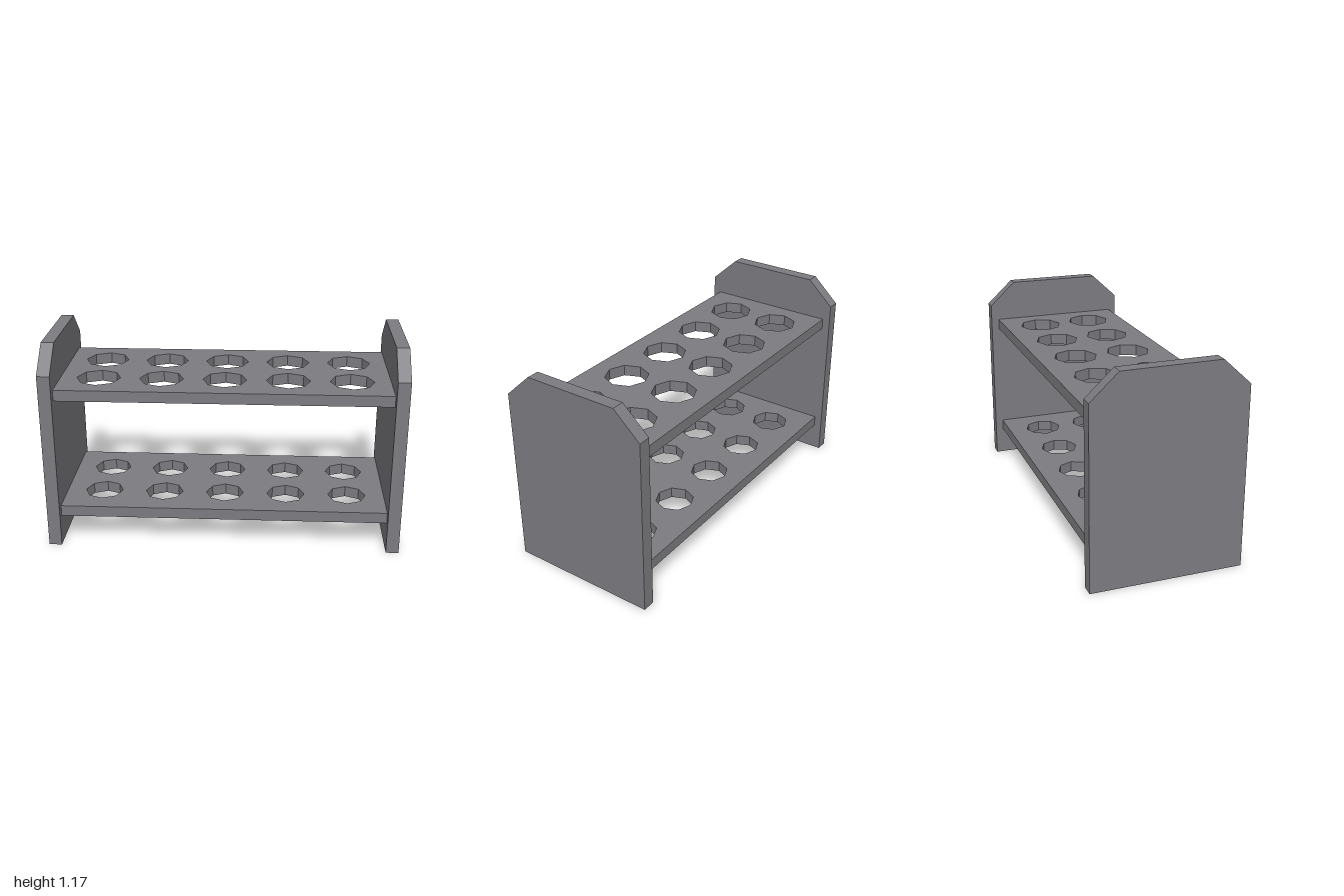
import * as THREE from 'three';

const T = 0.072;              // end panel thickness
const SHELF_LENGTH = 2 - 2 * T;
const SHELF_HALF_DEPTH = 0.38;
const SHELF_THICKNESS = 0.063;

const polygon = (points) => points.map(([x, y]) => new THREE.Vector2(x, y));

// Eight-sided hole with corners on the axes
function octagonHole(cx, cy, r) {
  const points = [];
  for (let i = 0; i < 8; i++) {
    const a = (-i * Math.PI) / 4;
    points.push([cx + r * Math.cos(a), cy + r * Math.sin(a)]);
  }
  return new THREE.Path(polygon(points));
}

// Horizontal board pierced by two rows of five holes
function createShelf(name, bottomY, holeRadius, material) {
  const w = SHELF_LENGTH / 2;
  const d = SHELF_HALF_DEPTH;
  const shape = new THREE.Shape(polygon([[-w, -d], [w, -d], [w, d], [-w, d]]));
  for (const row of [-0.16, 0.16]) {
    for (let i = -2; i <= 2; i++) {
      shape.holes.push(octagonHole(i * 0.356, row, holeRadius));
    }
  }
  const geometry = new THREE.ExtrudeGeometry(shape, { depth: SHELF_THICKNESS, bevelEnabled: false });
  geometry.rotateX(-Math.PI / 2);
  const mesh = new THREE.Mesh(geometry, material);
  mesh.name = name;
  mesh.position.y = bottomY;
  return mesh;
}

// Upright end board with clipped top corners
function createEndPanel(name, centerX, material) {
  const shape = new THREE.Shape(polygon([
    [-0.426, 0], [0.426, 0], [0.426, 1.025],
    [0.272, 1.168], [-0.272, 1.168], [-0.426, 1.025],
  ]));
  const geometry = new THREE.ExtrudeGeometry(shape, { depth: T, bevelEnabled: false });
  geometry.translate(0, 0, -T / 2);
  geometry.rotateY(Math.PI / 2);
  const mesh = new THREE.Mesh(geometry, material);
  mesh.name = name;
  mesh.position.x = centerX;
  return mesh;
}

export function createModel() {
  const grey = new THREE.MeshStandardMaterial({ color: 0x7c7b80 });
  grey.name = 'grey';

  const rack = new THREE.Group();
  rack.name = 'tubeRack';
  rack.add(
    createEndPanel('leftEndPanel', 1 - T / 2, grey),
    createEndPanel('rightEndPanel', -1 + T / 2, grey),
    createShelf('upperShelf', 0.868, 0.124, grey),
    createShelf('lowerShelf', 0.164, 0.109, grey),
  );
  return rack;
}
